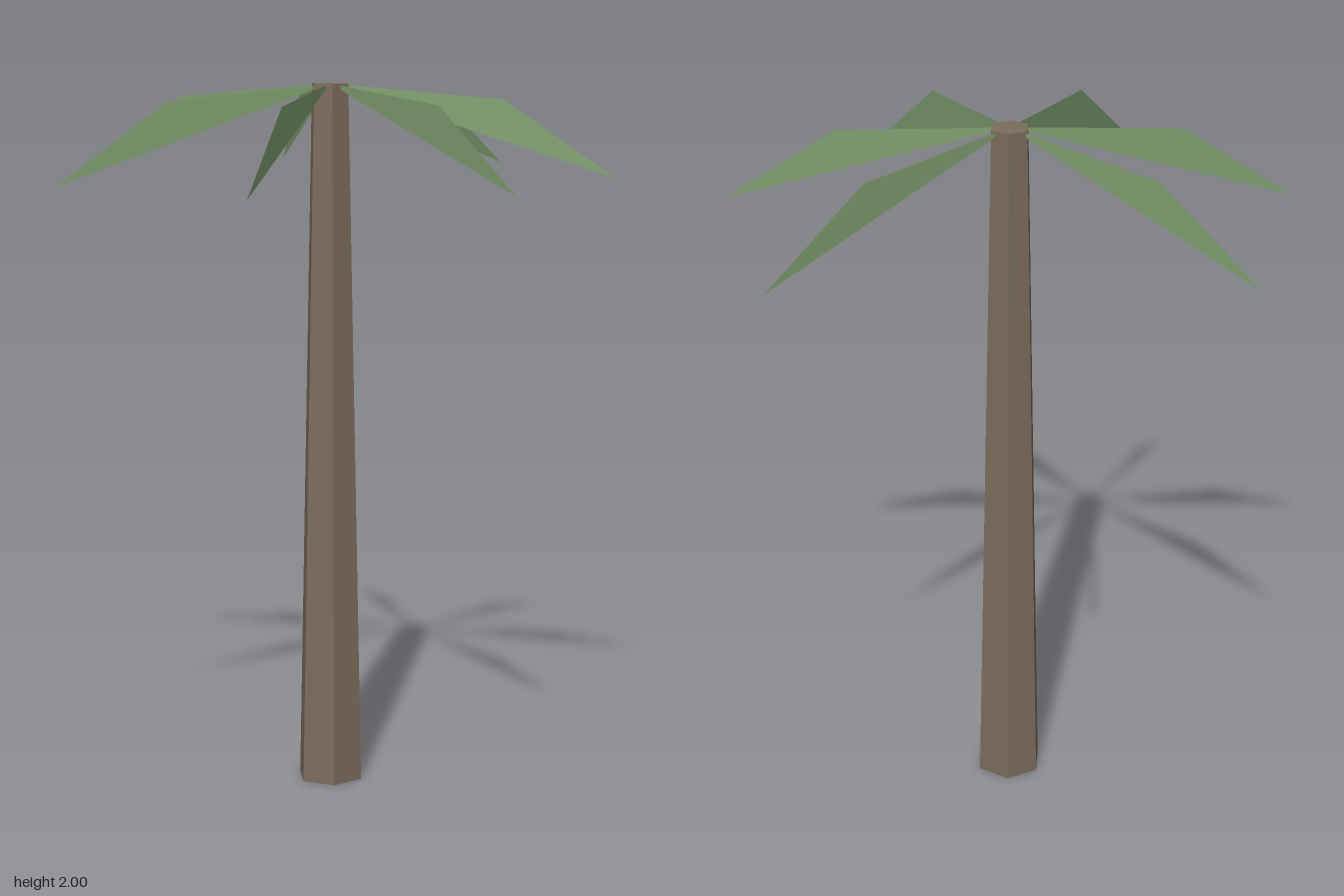
import * as THREE from 'three';

const FRONDS = 7;

export function createModel() {
  const palm = new THREE.Group();
  palm.name = 'palmTree';
  palm.position.x = -0.04; // the uneven crown sets the trunk a little off centre

  const bark = new THREE.MeshStandardMaterial({ color: 0x7b6c5d, flatShading: true });
  const leaf = new THREE.MeshStandardMaterial({
    color: 0x7f9f70, flatShading: true, side: THREE.DoubleSide,
  });

  // Tapered six-sided trunk
  const trunk = new THREE.Mesh(new THREE.CylinderGeometry(0.055, 0.097, 2, 6), bark);
  trunk.name = 'trunk';
  trunk.position.y = 1;
  palm.add(trunk);

  // Flat upright blade: root, shoulder, drooping tip
  const blade = new THREE.ShapeGeometry(new THREE.Shape([
    new THREE.Vector2(0, 0),
    new THREE.Vector2(0.795, -0.26),
    new THREE.Vector2(0.48, -0.043),
  ]));

  // Ring of fronds around the top
  const crown = new THREE.Group();
  crown.name = 'crown';
  crown.position.y = 2;
  for (let i = 0; i < FRONDS; i++) {
    const frond = new THREE.Mesh(blade, leaf);
    frond.name = `frond${i + 1}`;
    frond.rotation.y = (i / FRONDS) * Math.PI * 2;
    crown.add(frond);
  }
  palm.add(crown);

  const model = new THREE.Group();
  model.name = 'model';
  model.add(palm);
  return model;
}
